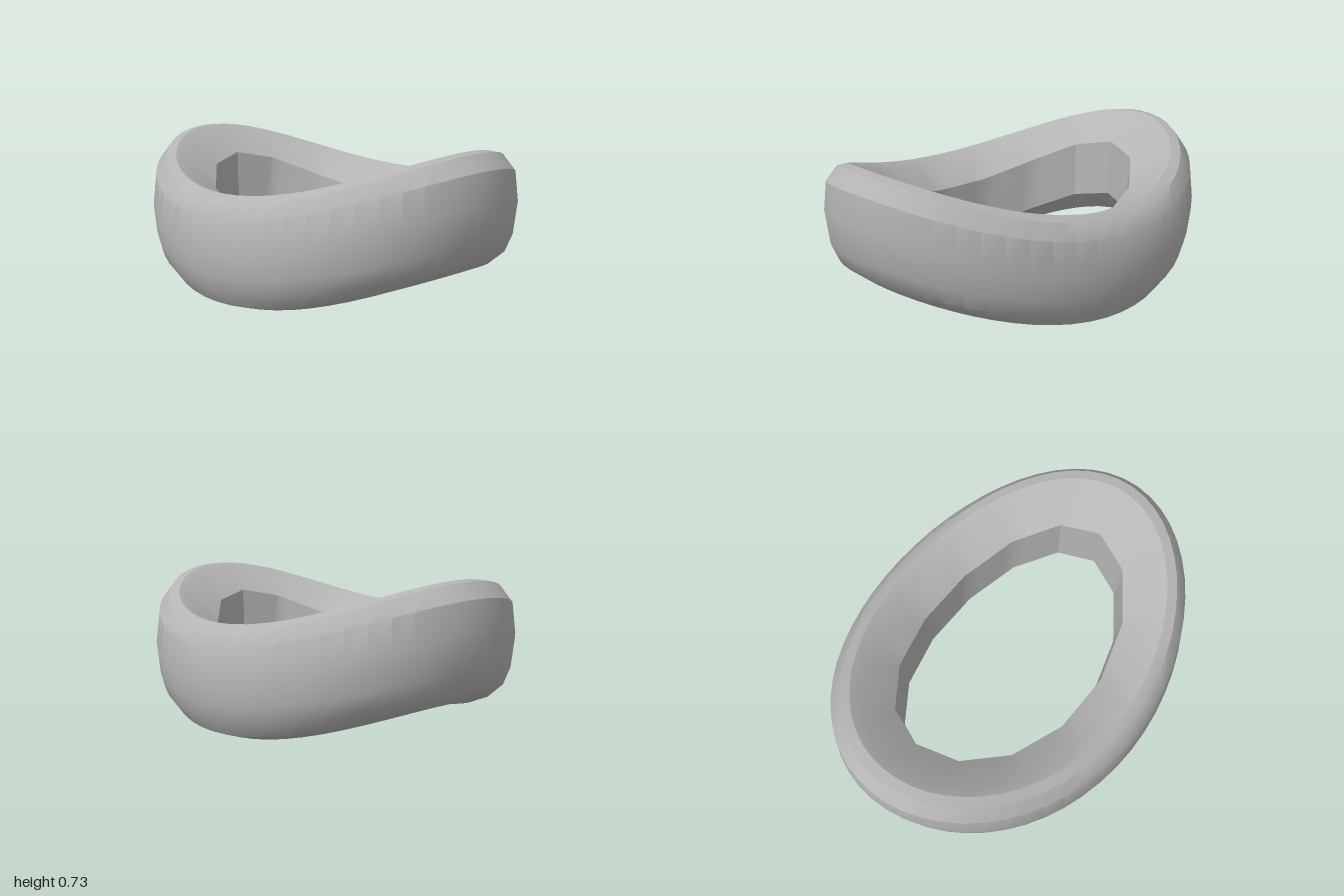
import * as THREE from 'three';
import { toCreasedNormals } from 'three/addons/utils/BufferGeometryUtils.js';

const SIDES = 14;      // facets of the inner hole
const STEPS = 4;       // subdivisions per facet
const SEGMENTS = SIDES * STEPS;

// Cross-section: [x radius, z radius, height at front/back, height at the sides, faceted]
const profile = [
  [1.0, 0.76, 0.26, 0.53, 0],
  [0.985, 0.74, 0.43, 0.66, 0],
  [0.93, 0.69, 0.497, 0.728, 0],
  [0.88, 0.64, 0.52, 0.733, 0],
  [0.83, 0.59, 0.5, 0.705, 0],
  [0.69, 0.45, 0.38, 0.59, 1],
  [0.68, 0.43, 0.12, 0.3, 1],
  [0.79, 0.6, 0.0, 0.18, 0],
  [0.86, 0.69, 0.03, 0.205, 0],
  [0.94, 0.737, 0.1, 0.27, 0],
  [0.98, 0.752, 0.175, 0.36, 0],
];

// Point on a saddle-shaped oval, raised towards the left and right ends
function ovalPoint([rx, rz, yFront, ySide], t) {
  const c = Math.cos(t);
  return new THREE.Vector3(rx * c, yFront + (ySide - yFront) * c * c, rz * Math.sin(t));
}

function ringPoint(p, i) {
  const step = (Math.PI * 2) / SIDES;
  if (!p[4]) return ovalPoint(p, (i / STEPS) * step);
  // Straight run between two corners of the faceted hole
  const k = Math.floor(i / STEPS);
  return ovalPoint(p, k * step).lerp(ovalPoint(p, (k + 1) * step), (i % STEPS) / STEPS);
}

function ringGeometry() {
  const n = profile.length;
  const positions = [];
  const index = [];
  for (let i = 0; i < SEGMENTS; i++) {
    for (let j = 0; j < n; j++) {
      positions.push(...ringPoint(profile[j], i).toArray());
      const a = i * n + j;
      const b = i * n + ((j + 1) % n);
      const c = ((i + 1) % SEGMENTS) * n + j;
      const d = ((i + 1) % SEGMENTS) * n + ((j + 1) % n);
      index.push(a, b, c, b, d, c);
    }
  }
  const geometry = new THREE.BufferGeometry();
  geometry.setAttribute('position', new THREE.Float32BufferAttribute(positions, 3));
  geometry.setIndex(index);
  return toCreasedNormals(geometry, 0.53);
}

export function createModel() {
  const group = new THREE.Group();
  group.name = 'saddleRing';
  const grey = new THREE.MeshStandardMaterial({ color: 0xb4b4b4 });
  grey.name = 'grey';
  const ring = new THREE.Mesh(ringGeometry(), grey);
  ring.name = 'ringBody';
  group.add(ring);
  return group;
}
